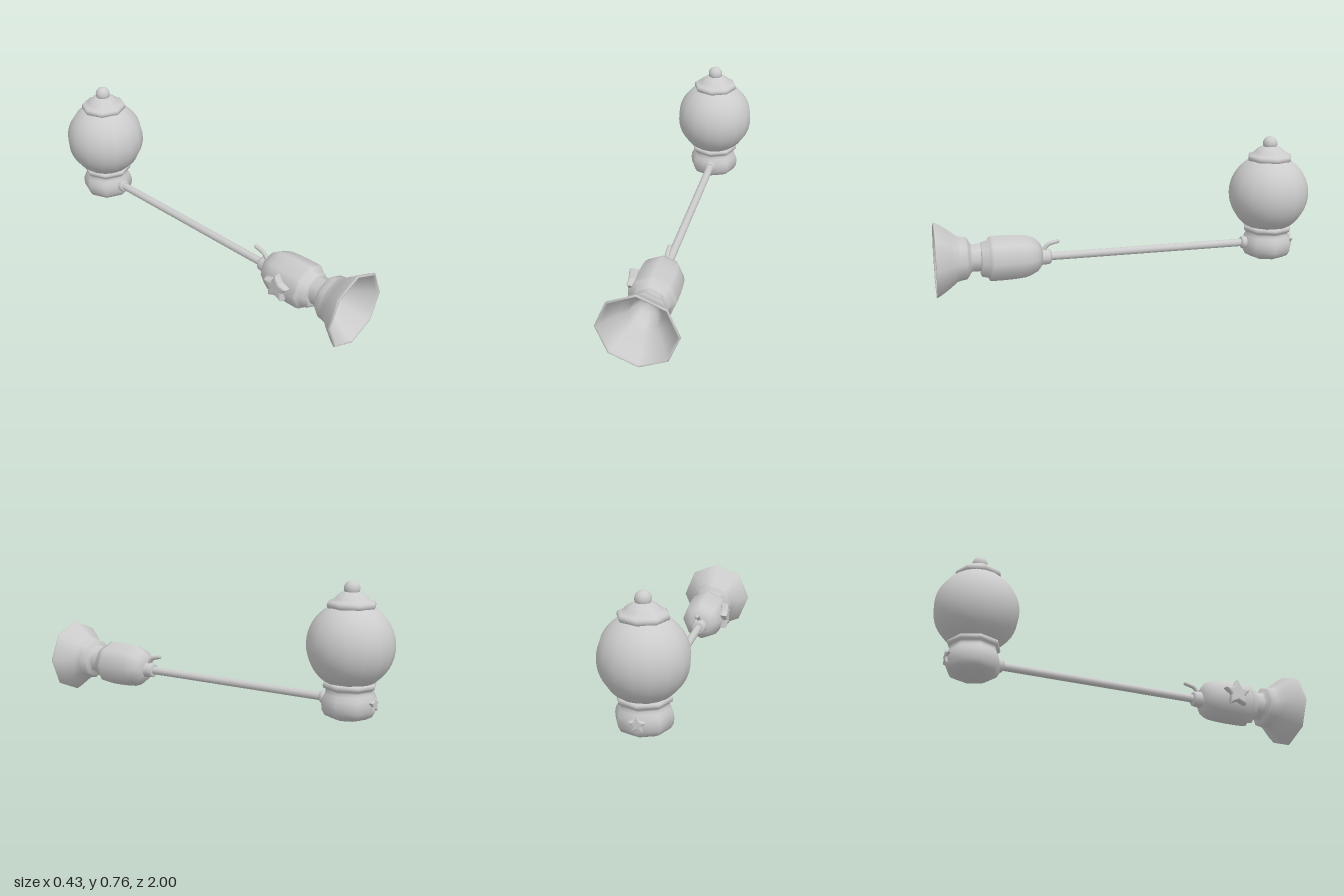
import * as THREE from 'three';

export function createModel() {
  const model = new THREE.Group();
  const grey = new THREE.MeshStandardMaterial({ color: 0xcccccc });
  grey.name = 'light grey';

  const add = (name, geometry, x, y, z) => {
    const mesh = new THREE.Mesh(geometry, grey);
    mesh.name = name;
    mesh.position.set(x, y, z);
    model.add(mesh);
    return mesh;
  };
  // Turned part from [radius, height] pairs
  const lathe = (points, sides = 8) =>
    new THREE.LatheGeometry(points.map(([r, h]) => new THREE.Vector2(r, h)), sides);
  // Turned part lying along z, heights are z positions
  const latheZ = (points, sides) => lathe(points, sides).rotateX(Math.PI / 2);
  // Plump five-pointed star facing +z
  const star = (radius, depth) => {
    const bevel = radius * 0.18;
    const shape = new THREE.Shape();
    for (let i = 0; i < 10; i++) {
      const r = (i % 2 ? 0.5 : 1) * (radius - bevel);
      const a = Math.PI / 2 + i * Math.PI / 5;
      shape[i ? 'lineTo' : 'moveTo'](r * Math.cos(a), r * Math.sin(a));
    }
    return new THREE.ExtrudeGeometry(shape, {
      depth, bevelEnabled: true, bevelSize: bevel, bevelThickness: bevel, bevelSegments: 3,
    });
  };

  const backZ = -0.787;

  // Globe with its lid and knob
  add('globe', new THREE.SphereGeometry(0.213, 16, 24), 0, 0.45, backZ);
  add('lid', lathe([
    [0, 0.628], [0.112, 0.628], [0.12, 0.633], [0.122, 0.645], [0.119, 0.656], [0.108, 0.662],
    [0.094, 0.665], [0.083, 0.678], [0.066, 0.692], [0.046, 0.703], [0.03, 0.708], [0, 0.71],
  ]), 0, 0, backZ);
  add('knob', new THREE.SphereGeometry(0.039, 16, 12), 0, 0.72, backZ);

  // Base cup holding the globe
  add('base', lathe([
    [0, 0.083], [0.05, 0.087], [0.09, 0.098], [0.122, 0.115], [0.136, 0.14], [0.139, 0.17],
    [0.135, 0.195], [0.124, 0.218], [0.118, 0.232], [0.12, 0.243], [0.13, 0.248], [0.134, 0.259],
    [0.131, 0.27], [0.12, 0.276], [0, 0.276],
  ]), 0, 0, backZ);
  add('baseStar', star(0.038, 0.012), 0, 0.178, backZ - 0.121).rotation.y = Math.PI;

  // Long connecting pole and its socket
  add('pole', new THREE.CylinderGeometry(0.021, 0.021, 1.08, 12).rotateX(Math.PI / 2), 0.003, 0.18, -0.12);
  add('poleSocket', latheZ([
    [0, -0.68], [0.03, -0.68], [0.034, -0.655], [0.033, -0.642], [0.026, -0.635], [0, -0.635],
  ], 12), 0.002, 0.18, 0);
  add('poleJoint', latheZ([
    [0, 0.408], [0.032, 0.408], [0.039, 0.416], [0.041, 0.435], [0.042, 0.455], [0.05, 0.475], [0, 0.49],
  ], 12), 0.003, 0.18, 0);

  // Small curved hook on the joint
  const hookPath = new THREE.CatmullRomCurve3([
    [0.003, 0.2, 0.447], [0.003, 0.228, 0.438], [0.003, 0.247, 0.42], [0.003, 0.254, 0.398], [0.003, 0.26, 0.372],
  ].map((p) => new THREE.Vector3(...p)));
  add('hook', new THREE.TubeGeometry(hookPath, 16, 0.011, 8), 0, 0, 0);
  add('hookTip', new THREE.SphereGeometry(0.011, 8, 6), 0.003, 0.26, 0.372);

  // Rounded horn body with its star
  add('hornBody', latheZ([
    [0, 0.45], [0.045, 0.455], [0.07, 0.468], [0.09, 0.485], [0.104, 0.51], [0.114, 0.54],
    [0.119, 0.59], [0.121, 0.65], [0.121, 0.71], [0.118, 0.726], [0.1, 0.735], [0.094, 0.765],
    [0.078, 0.772], [0, 0.772],
  ]), 0.003, 0.19, 0);
  add('hornStar', star(0.07, 0.018), -0.106, 0.198, 0.615).rotation.y = -Math.PI / 2;

  // Flared bell, outside up to the rim and back down the inside
  add('bell', latheZ([
    [0.07, 0.75], [0.074, 0.77], [0.074, 0.815], [0.084, 0.825], [0.1, 0.832], [0.113, 0.842],
    [0.117, 0.87], [0.122, 0.888], [0.15, 0.922], [0.178, 0.958], [0.197, 0.988], [0.2, 0.996],
    [0.196, 1], [0.189, 0.998], [0.182, 0.988], [0.15, 0.938], [0.118, 0.9], [0.095, 0.878],
    [0.08, 0.855], [0.068, 0.82], [0.045, 0.79], [0.02, 0.778], [0, 0.776],
  ]), 0.004, 0.202, 0);

  return model;
}
